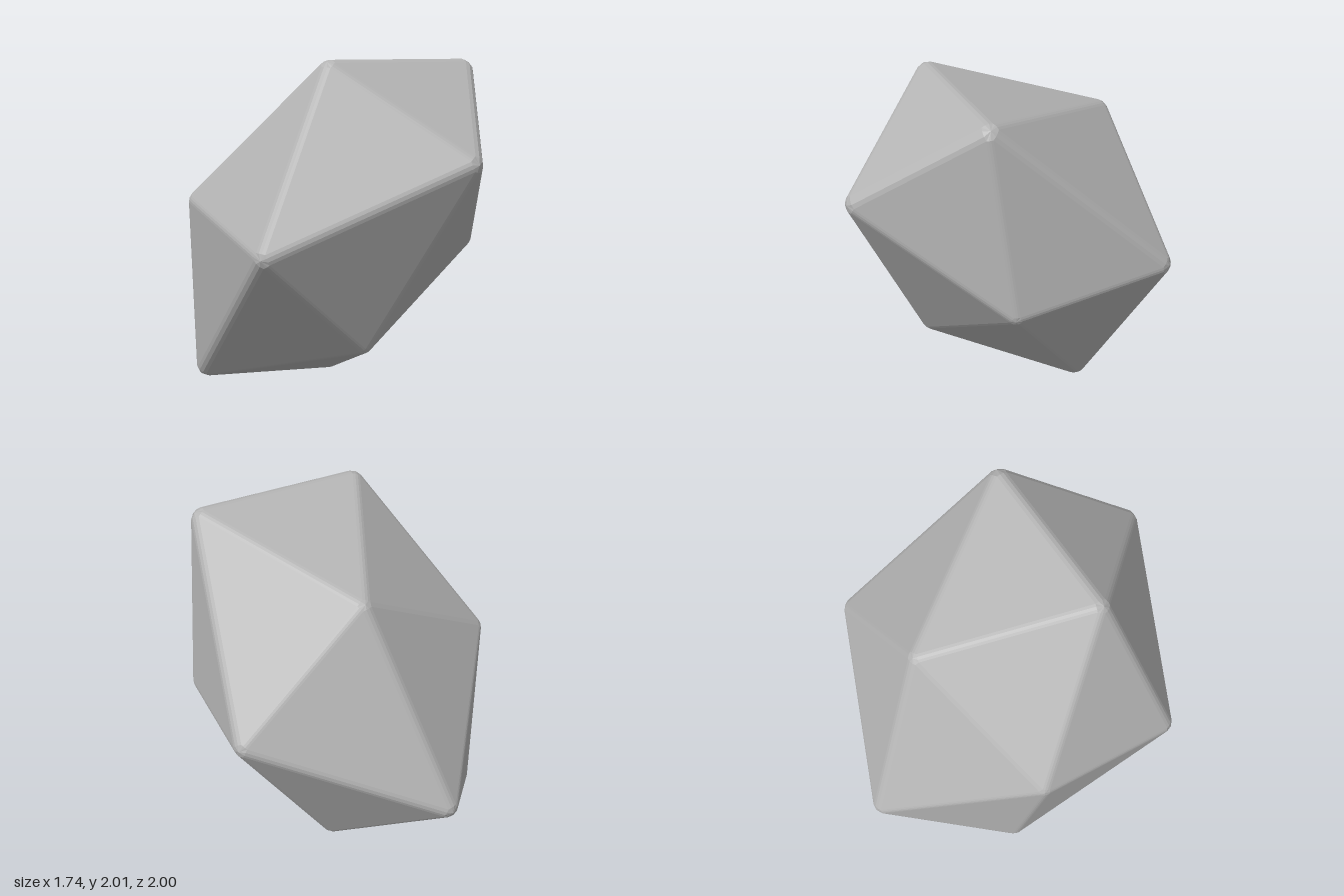
import * as THREE from 'three';

const CENTER = new THREE.Vector3(0, 1, 0);
const RADIUS = 0.07; // rounding of edges and tips

// Corners of a stretched icosahedron
const CORNERS = {
  A: [0.02, 1.99, 0.51], B: [0.78, 1.96, -0.13], C: [0.85, 1.46, 0.66],
  D: [-0.27, 0.99, 1.0], E: [-0.8, 1.2, 0.3], F: [-0.28, 1.75, -0.47],
  G: [0.28, 1.05, -1.0], H: [-0.855, 0.6, -0.7], I: [0.81, 0.87, -0.27],
  J: [0.24, 0.36, 0.47], K: [-0.79, 0.1, 0.15], L: [-0.06, 0.0, -0.42],
};
const FACES = ('ADC ADE DEK DKJ DJC CJI CIB CBA ABF AFE ' +
  'EFH EHK KHL KJL JIL ILG IGB BGF FGH HGL').split(' ');

function faceNormal(a, b, c) {
  const n = b.clone().sub(a).cross(c.clone().sub(a)).normalize();
  return n.dot(a.clone().add(b).add(c).divideScalar(3).sub(CENTER)) < 0 ? n.negate() : n;
}

function roundedStone() {
  const tip = {}, out = {}, inner = {}, normals = {}, edges = {};
  for (const k in CORNERS) {
    tip[k] = new THREE.Vector3(...CORNERS[k]);
    out[k] = new THREE.Vector3();
  }
  // Outward direction of each corner, then pull the corner in by the radius
  for (const f of FACES) {
    const n = faceNormal(...[...f].map((k) => tip[k]));
    for (const k of f) out[k].add(n);
  }
  for (const k in tip) {
    out[k].normalize();
    inner[k] = tip[k].clone().addScaledVector(out[k], -RADIUS);
  }

  const positions = [];
  const tri = (a, b, c) => {
    const n = b.clone().sub(a).cross(c.clone().sub(a));
    const mid = a.clone().add(b).add(c).divideScalar(3).sub(CENTER);
    for (const p of n.dot(mid) < 0 ? [a, c, b] : [a, b, c]) positions.push(p.x, p.y, p.z);
  };
  const at = (k, n) => inner[k].clone().addScaledVector(n, RADIUS);

  // Large flat facets
  for (const f of FACES) {
    const n = normals[f] = faceNormal(...[...f].map((k) => inner[k]));
    tri(...[...f].map((k) => at(k, n)));
    for (let i = 0; i < 3; i++) {
      const key = [f[i], f[(i + 1) % 3]].sort().join('');
      (edges[key] ??= []).push(n);
    }
  }
  // Bevel strips along the edges, closed by a fan at each tip
  for (const key in edges) {
    const [n0, n1] = edges[key], [p, q] = key;
    const steps = n0.angleTo(n1) > 0.45 ? 3 : 1;
    for (let i = 0; i < steps; i++) {
      const u = n0.clone().lerp(n1, i / steps).normalize();
      const v = n0.clone().lerp(n1, (i + 1) / steps).normalize();
      tri(at(p, u), at(q, u), at(q, v));
      tri(at(p, u), at(q, v), at(p, v));
      for (const k of key) tri(at(k, out[k]), at(k, u), at(k, v));
    }
  }
  const geometry = new THREE.BufferGeometry();
  geometry.setAttribute('position', new THREE.Float32BufferAttribute(positions, 3));
  geometry.computeVertexNormals();
  return geometry;
}

export function createModel() {
  const group = new THREE.Group();
  group.name = 'stone';
  const material = new THREE.MeshStandardMaterial({ color: 0xb4b4b4 });
  material.name = 'stone grey';
  const stone = new THREE.Mesh(roundedStone(), material);
  stone.name = 'facetedStone';
  group.add(stone);
  return group;
}
